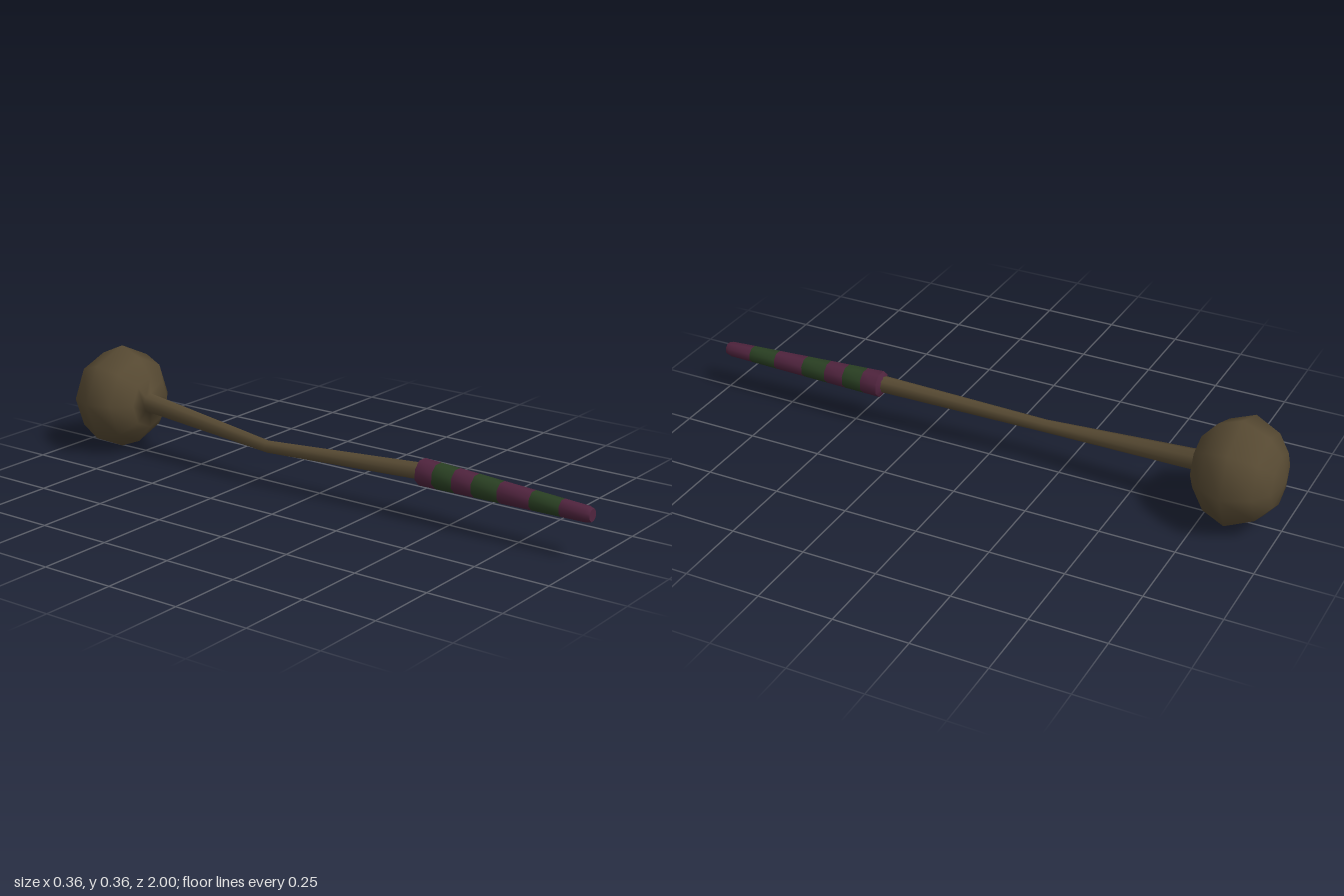
import * as THREE from 'three';
import { mergeVertices, toCreasedNormals } from 'three/addons/utils/BufferGeometryUtils.js';

const SIDES = 8;

// Skin of octagonal rings [z, x, y, radius], listed from front (+z) to back
function loft(rings, spin = 0) {
  const pos = [], idx = [];
  for (const [z, x, y, r] of rings) {
    for (let j = 0; j < SIDES; j++) {
      const a = spin + (j / SIDES) * Math.PI * 2;
      pos.push(x + r * Math.cos(a), y + r * Math.sin(a), z);
    }
  }
  for (let i = 0; i < rings.length - 1; i++) {
    for (let j = 0; j < SIDES; j++) {
      const k = (j + 1) % SIDES;
      const a = i * SIDES + j, b = i * SIDES + k, c = a + SIDES, d = b + SIDES;
      if (rings[i][3] > 0) idx.push(a, c, b);
      if (rings[i + 1][3] > 0) idx.push(b, c, d);
    }
  }
  const geo = new THREE.BufferGeometry();
  geo.setAttribute('position', new THREE.Float32BufferAttribute(pos, 3));
  geo.setIndex(idx);
  const merged = mergeVertices(geo);
  merged.computeVertexNormals();
  return merged;
}

export function createModel() {
  const group = new THREE.Group();
  const material = (name, color) => {
    const m = new THREE.MeshStandardMaterial({ color });
    m.name = name;
    return m;
  };
  const wood = material('wood', 0x564932);
  const purple = material('purpleWrap', 0x50243e);
  const green = material('greenWrap', 0x2a4023);

  const add = (name, geo, mat) => {
    const mesh = new THREE.Mesh(geo, mat);
    mesh.name = name;
    group.add(mesh);
  };

  // Bent wooden shaft flowing into the bulbous head
  const spin = THREE.MathUtils.degToRad(-2.5);
  add('shaftAndHead', loft([
    [0.42, -0.007, 0.158, 0.028],
    [0.39, -0.008, 0.158, 0.028],
    [-0.18, -0.04, 0.135, 0.021],
    [-0.722, -0.002, 0.178, 0.034],
    [-0.724, 0, 0.18, 0.088],
    [-0.775, 0, 0.18, 0.148],
    [-0.853, 0, 0.18, 0.179],
    [-0.94, 0, 0.18, 0.14],
    [-0.982, 0, 0.18, 0.088],
    [-1, 0, 0.18, 0],
  ], spin), wood);

  // Tapered grip wrapped in alternating bands
  const gripRing = (z) => {
    const t = (1 - z) / 0.6;
    return [z, -0.008 + 0.002 * t, 0.144 + 0.013 * t, 0.025 + 0.019 * t];
  };
  const edges = [0.985, 0.9, 0.8, 0.69, 0.6, 0.53, 0.46, 0.4];
  for (let i = 0; i < edges.length - 1; i++) {
    const rings = [gripRing(edges[i]), gripRing(edges[i + 1])];
    if (i === 0) rings.unshift([1, -0.008, 0.144, 0], [1, -0.008, 0.144, 0.021]);
    if (i === edges.length - 2) rings.push([0.39, -0.007, 0.158, 0.026]);
    add('gripBand' + (i + 1), toCreasedNormals(loft(rings, Math.PI / 8), 0.85), i % 2 ? green : purple);
  }
  return group;
}
